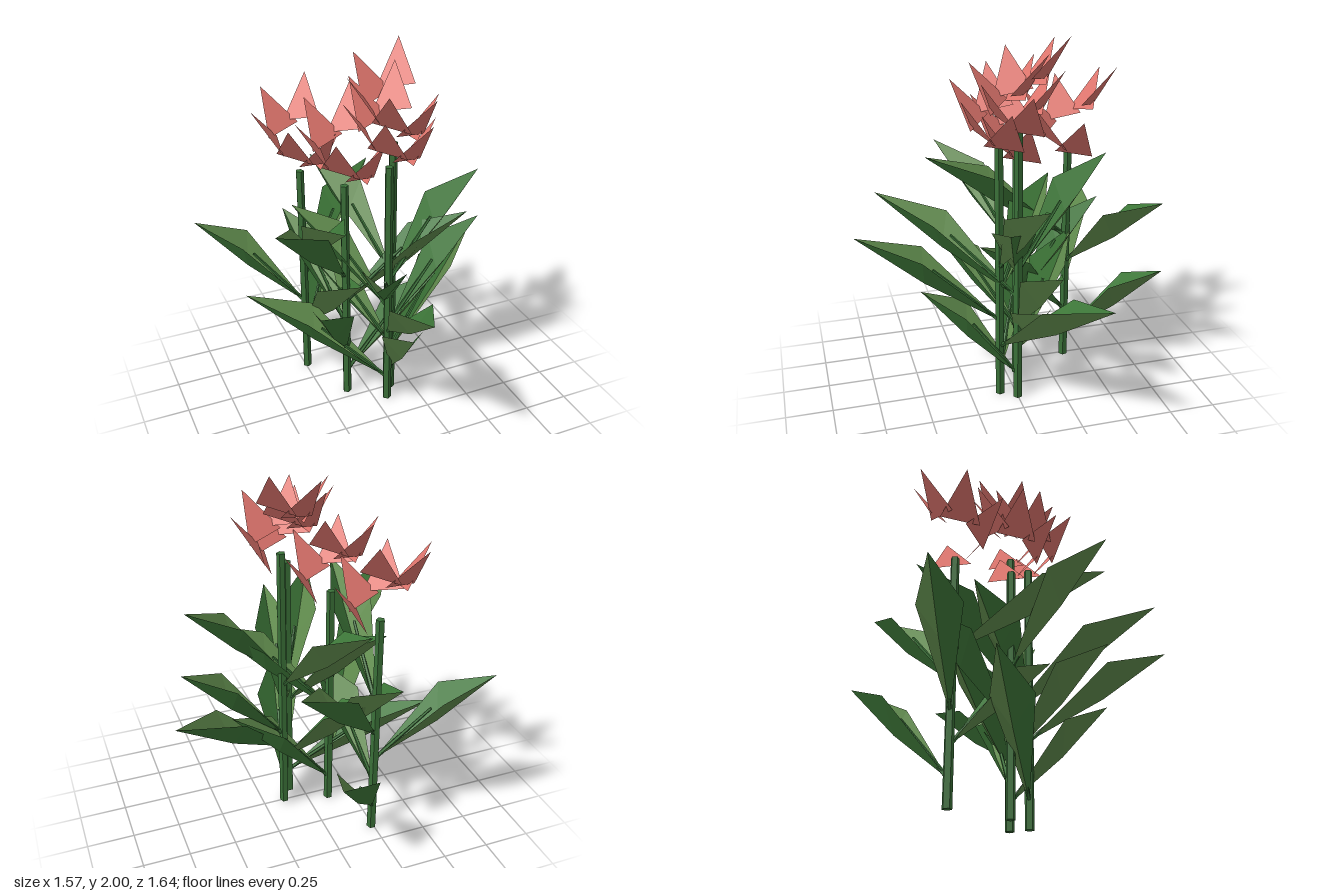
import * as THREE from 'three';

const mat = (color) => new THREE.MeshStandardMaterial({ color, flatShading: true, side: THREE.DoubleSide });
const stemMat = mat(0x3a7038);
const rightLeafMat = mat(0x3f7a3a);
const leftLeafMat = mat(0x5f8a4c);
const petalMat = mat(0xe0766e);

// Stem positions, heights, direction of the lowest leaf (degrees, from +x towards +z)
// and the reach of each of its five leaves
const STEMS = [
  { x: -0.24, z: -0.385, h: 1.28, turn: -50, reach: [0.57, 0.55, 0.59, 0.63, 0.785] },
  { x: -0.115, z: -0.06, h: 1.31, turn: 0, reach: [0.55, 0.505, 0.55, 0.645, 0.6] },
  { x: 0.07, z: 0.085, h: 1.44, turn: 206.5, reach: [0.77, 0.8, 0.745, 0.55, 0.575] },
  { x: 0.13, z: 0, h: 1.53, turn: 102, reach: [0.51, 0.55, 0.56, 0.785, 0.615] },
];

// Thin surface from a list of triangles, each corner being [x, y, z]
function surface(name, material, triangles) {
  const geo = new THREE.BufferGeometry();
  geo.setAttribute('position', new THREE.Float32BufferAttribute(triangles.flat(2), 3));
  geo.computeVertexNormals();
  const mesh = new THREE.Mesh(geo, material);
  mesh.name = name;
  return mesh;
}

// Keeled leaf growing along +x: two folded halves and a short stalk in the fold
function makeLeaf(reach) {
  const leaf = new THREE.Group();
  leaf.name = 'leaf';
  const base = [0, 0, 0];
  const keel = [reach * 0.53, 0.245, 0];
  const tip = [reach, 0.52, 0];
  for (const side of [-1, 1]) {
    const corner = [reach * 0.54, 0.41, side * 0.112];
    const faces = side > 0
      ? [[base, corner, keel], [keel, corner, tip]]
      : [[base, keel, corner], [keel, tip, corner]];
    leaf.add(surface(side > 0 ? 'leafHalfLeft' : 'leafHalfRight', side > 0 ? leftLeafMat : rightLeafMat, faces));
  }
  const end = new THREE.Vector3(reach * 0.47, 0.32, 0);
  const stalk = new THREE.Mesh(new THREE.CylinderGeometry(0.008, 0.012, end.length(), 5), stemMat);
  stalk.name = 'leafStalk';
  stalk.position.copy(end).multiplyScalar(0.5);
  stalk.quaternion.setFromUnitVectors(new THREE.Vector3(0, 1, 0), end.clone().normalize());
  leaf.add(stalk);
  return leaf;
}

// Six pointed petals, each a little higher than the one before
function makeFlower() {
  const flower = new THREE.Group();
  flower.name = 'flower';
  for (let i = 0; i < 6; i++) {
    const petal = surface('petal', petalMat, [
      [[0.115, -0.01, -0.1], [0.085, 0.03, 0.1], [0.25, 0.22, 0]],
    ]);
    petal.position.y = i * 0.05;
    petal.rotation.y = -i * Math.PI / 3;
    flower.add(petal);
  }
  return flower;
}

export function createModel() {
  const model = new THREE.Group();
  model.name = 'floweringPlant';
  for (const s of STEMS) {
    const plant = new THREE.Group();
    plant.name = 'flowerStem';
    plant.position.set(s.x, 0, s.z);

    const stem = new THREE.Mesh(new THREE.CylinderGeometry(0.023, 0.025, s.h, 5), stemMat);
    stem.name = 'stem';
    stem.position.y = s.h / 2;
    plant.add(stem);

    // Leaves spiral up the stem
    s.reach.forEach((reach, i) => {
      const leaf = makeLeaf(reach);
      leaf.position.y = 0.14 + i * 0.157;
      leaf.rotation.y = -(THREE.MathUtils.degToRad(s.turn) + i * 2.2);
      plant.add(leaf);
    });

    const flower = makeFlower();
    flower.position.y = s.h;
    plant.add(flower);
    model.add(plant);
  }
  return model;
}
